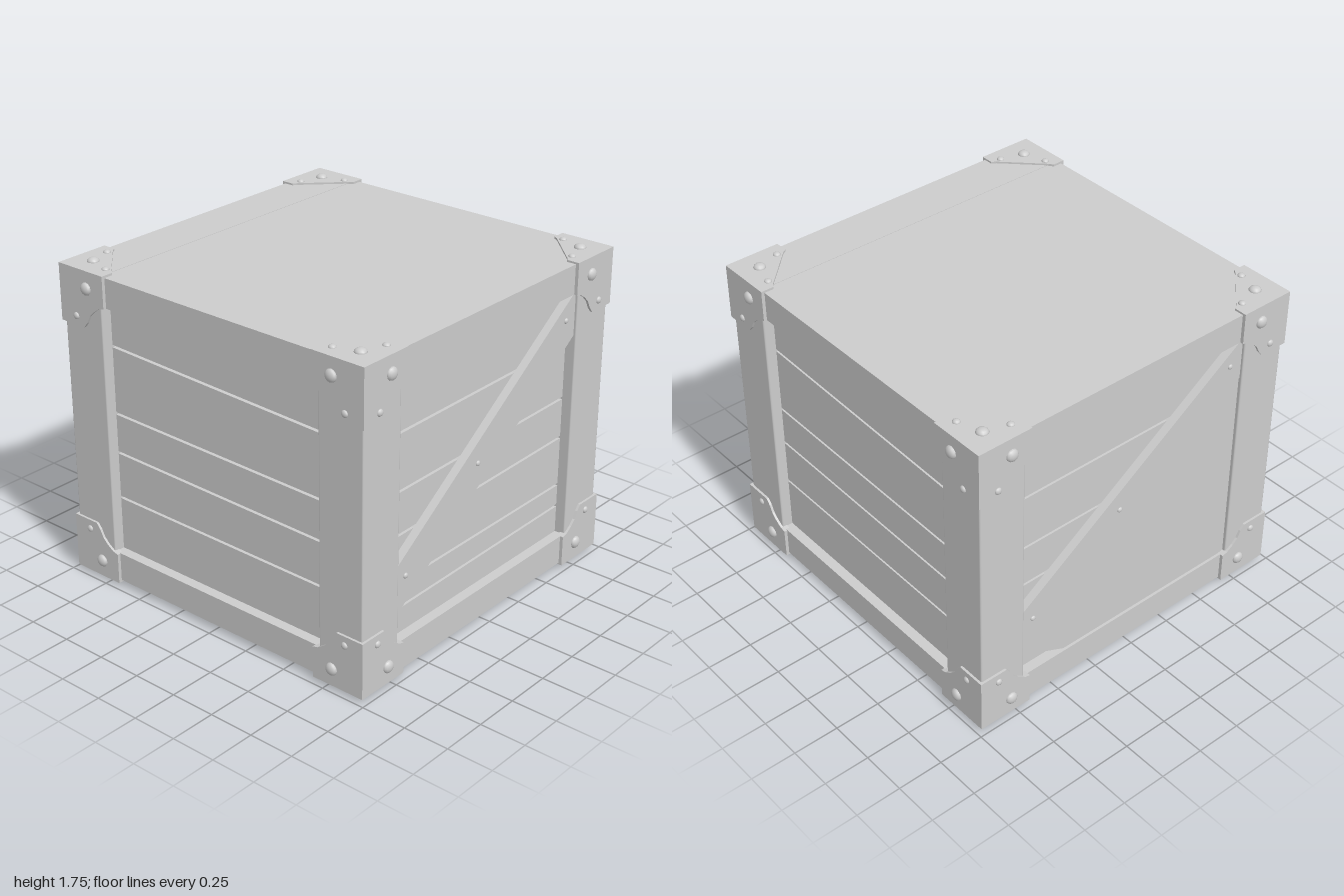
import * as THREE from 'three';
import { RoundedBoxGeometry } from 'three/addons/geometries/RoundedBoxGeometry.js';

const grey = new THREE.MeshStandardMaterial({ color: 0xcccccc });
grey.name = 'plain grey';

const OUT = 0.965;   // outer face of the posts
const IN = 0.70;     // inner edge of the posts
const BOTTOM = 0.03, TOP = 1.72, MID = (BOTTOM + TOP) / 2;
const PLATE = 0.978; // outer face of the corner plates

function add(parent, name, geometry, x = 0, y = 0, z = 0) {
  const mesh = new THREE.Mesh(geometry, grey);
  mesh.name = name;
  mesh.position.set(x, y, z);
  parent.add(mesh);
  return mesh;
}

// Flat polygon in xy, extruded from z0 to z1
function slab(parent, name, points, z0, z1) {
  const shape = new THREE.Shape(points.map(([x, y]) => new THREE.Vector2(x, y)));
  const geometry = new THREE.ExtrudeGeometry(shape, { depth: z1 - z0, bevelEnabled: false });
  return add(parent, name, geometry, 0, 0, z0);
}

// Domed bolt head facing +z
function bolt(parent, x, y, z, r) {
  const dome = new THREE.SphereGeometry(r, 12, 4, 0, Math.PI * 2, 0, Math.PI / 2);
  dome.scale(1, 0.66, 1);
  dome.rotateX(Math.PI / 2);
  add(parent, 'bolt', dome, x, y, z);
}

// Corner plate outline, measured inwards from the crate corner
const SIDE_PLATE = [[0, 0], [0.308, 0], [0.308, 0.17], [0.275, 0.178], [0.235, 0.205],
  [0.205, 0.235], [0.185, 0.275], [0.16, 0.305], [0, 0.305]];
const END_PLATE = [[0, 0], [0.308, 0], [0.308, 0.07], [0.285, 0.085], [0.085, 0.285],
  [0.07, 0.308], [0, 0.308]];

// One upright face, looking along -z; gaps are [left height, right height]
function buildFace(name, gaps, braced) {
  const face = new THREE.Group();
  face.name = name;

  // Planks between the posts
  const edges = [[0.15, 0.15], ...gaps, [1.6, 1.6]];
  const half = 0.007;
  for (let i = 0; i < edges.length - 1; i++) {
    const [a, b] = edges[i], [c, d] = edges[i + 1];
    slab(face, 'plank', [[-0.72, a + half], [0.72, b + half], [0.72, d - half], [-0.72, c - half]],
      0.86, 0.905);
  }

  // Diagonal brace with three bolts
  if (braced) {
    slab(face, 'brace', [[-0.71, 0.325], [0.71, 1.335], [0.71, 1.575], [-0.71, 0.59]], 0.88, 0.95);
    for (const [x, y] of [[-0.63, 0.53], [-0.08, 0.91], [0.625, 1.43]]) bolt(face, x, y, 0.95, 0.015);
  }

  // Plates and bolts at the four corners
  for (const sx of [-1, 1]) for (const sy of [-1, 1]) {
    const cy = sy > 0 ? 1.73 : 0.02;
    const place = ([u, v]) => [sx * (PLATE - u), cy - sy * v];
    slab(face, 'cornerPlate', SIDE_PLATE.map(place), 0.94, PLATE);
    bolt(face, ...place([0.19, 0.093]), PLATE, 0.034);
    bolt(face, ...place([0.11, 0.255]), PLATE, 0.019);
  }
  return face;
}

// Plates and bolts on the top or bottom, built facing +z then turned
function buildEndPlates(name, up) {
  const end = new THREE.Group();
  end.name = name;
  for (const sx of [-1, 1]) for (const sy of [-1, 1]) {
    const place = ([u, v]) => [sx * (PLATE - u), sy * (PLATE - v)];
    slab(end, 'cornerPlate', END_PLATE.map(place), -0.03, 0.01);
    bolt(end, ...place([0.12, 0.12]), 0.01, 0.032);
    bolt(end, ...place([0.08, 0.25]), 0.01, 0.02);
    bolt(end, ...place([0.25, 0.08]), 0.01, 0.02);
  }
  end.rotation.x = up ? -Math.PI / 2 : Math.PI / 2;
  end.position.y = up ? TOP : BOTTOM;
  return end;
}

export function createModel() {
  const crate = new THREE.Group();
  crate.name = 'crate';

  // Hidden core behind the planks
  add(crate, 'core', new THREE.BoxGeometry(1.76, 1.5, 1.76), 0, MID, 0);

  // Corner posts
  const width = OUT - IN;
  for (const sx of [-1, 1]) for (const sz of [-1, 1]) {
    add(crate, 'post', new RoundedBoxGeometry(width, TOP - BOTTOM - 0.01, width, 1, 0.008),
      sx * (OUT + IN) / 2, MID, sz * (OUT + IN) / 2);
  }

  // Top and bottom boards, whose edges form the rails
  for (const [name, y, s] of [['topBoard', TOP - 0.08, 1], ['bottomBoard', BOTTOM + 0.08, -1]]) {
    for (const sz of [-1, 1]) {
      add(crate, name, new THREE.BoxGeometry(1.92, 0.16, 0.26), 0, y, sz * 0.83);
    }
    add(crate, name, new THREE.BoxGeometry(1.92, 0.16, 1.4), 0, y - s * 0.002, 0);
  }

  // Four faces: braced front and back, plain sides
  const frontGaps = [[0.33, 0.345], [0.468, 0.47], [0.728, 0.745], [0.96, 0.968], [1.265, 1.268]];
  const sideGaps = [[0.49, 0.482], [0.747, 0.725], [0.966, 0.945], [1.335, 1.292]];
  const names = ['frontFace', 'leftFace', 'backFace', 'rightFace'];
  names.forEach((name, i) => {
    const braced = i % 2 === 0;
    const face = buildFace(name, braced ? frontGaps : sideGaps, braced);
    face.rotation.y = i * Math.PI / 2;
    crate.add(face);

    // Flat panel filling the space under the back brace
    if (name === 'backFace') {
      slab(face, 'lowerPanel', [[-0.71, 0.325], [-0.4, 0.18], [0.71, 0.18], [0.71, 1.335]], 0.88, 0.945);
    }
  });

  crate.add(buildEndPlates('topPlates', true), buildEndPlates('bottomPlates', false));
  return crate;
}
